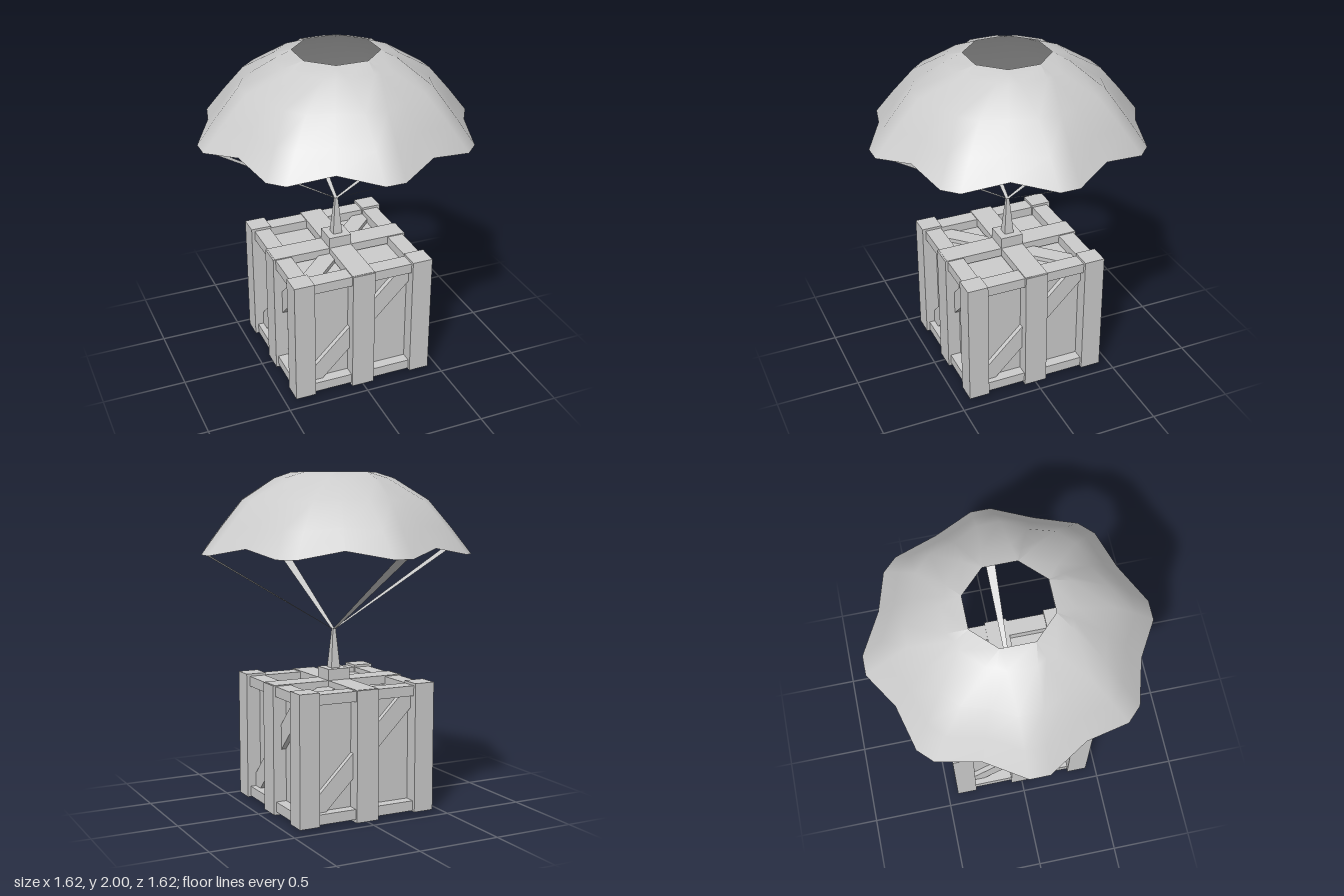
import * as THREE from 'three';

const material = new THREE.MeshStandardMaterial({ color: 0xcccccc, flatShading: true });
const thin = new THREE.MeshStandardMaterial({ color: 0xcccccc, side: THREE.DoubleSide });

function box(parent, name, size, pos) {
  const mesh = new THREE.Mesh(new THREE.BoxGeometry(...size), material);
  mesh.name = name;
  mesh.position.set(...pos);
  parent.add(mesh);
  return mesh;
}

function surface(name, points, index) {
  const geometry = new THREE.BufferGeometry();
  geometry.setAttribute('position', new THREE.Float32BufferAttribute(points, 3));
  geometry.setIndex(index);
  geometry.computeVertexNormals();
  const mesh = new THREE.Mesh(geometry, thin);
  mesh.name = name;
  return mesh;
}

// Wooden crate: recessed core, posts, rails, braces and straps
function createCrate() {
  const crate = new THREE.Group();
  crate.name = 'crate';
  box(crate, 'recessedPanels', [0.7, 0.64, 0.7], [0, 0.395, 0]);

  for (let i = 0; i < 4; i++) {
    const side = new THREE.Group();
    side.name = 'crateSide';
    side.rotation.y = i * Math.PI / 2;
    crate.add(side);
    box(side, 'cornerPost', [0.125, 0.77, 0.125], [0.3725, 0.4, 0.3725]);
    box(side, 'bottomRail', [0.66, 0.06, 0.1], [0, 0.05, 0.365]);
    box(side, 'topRail', [0.66, 0.06, 0.1], [0, 0.74, 0.365]);
    box(side, 'sideStrap', [0.14, 0.772, 0.1], [0, 0.388, 0.38]);
    box(side, 'diagonalBrace', [0.9, 0.106, 0.04], [0, 0.398, 0.36]).rotation.z = Math.PI / 4;
  }

  // Straps and braces on the top and bottom faces
  for (const [label, strapY, braceY] of [['top', 0.75, 0.725], ['bottom', 0.026, 0.065]]) {
    box(crate, label + 'StrapAcross', [0.84, 0.052, 0.14], [0, strapY, 0]);
    box(crate, label + 'StrapAlong', [0.14, 0.052, 0.84], [0, strapY, 0]);
    box(crate, label + 'Brace', [0.9, 0.03, 0.106], [0, braceY, 0]).rotation.y = Math.PI / 4;
  }
  return crate;
}

// Scalloped eight-gore canopy with an open vent
function createCanopy() {
  // Each ring: ridge radius, ridge height, ridge half width, valley radius, valley height
  const rings = [
    [0.81, 1.535, 0.058, 0.735, 1.58],
    [0.69, 1.685, 0.06, 0.638, 1.7],
    [0.555, 1.84, 0.065, 0.523, 1.84],
    [0.345, 1.965, 0.08, 0.338, 1.96],
    [0.23, 2.0, 0.095, 0.249, 2.0],
  ];
  const points = [], index = [], n = 24;
  for (const [r, y, w, valleyR, valleyY] of rings) {
    for (let i = 0; i < 8; i++) {
      const a = i * Math.PI / 4, c = Math.cos(a), s = Math.sin(a);
      for (const t of [-w, w]) points.push(r * c - t * s, y, r * s + t * c);
      const v = a + Math.PI / 8;
      points.push(valleyR * Math.cos(v), valleyY, valleyR * Math.sin(v));
    }
  }
  for (let j = 0; j < rings.length - 1; j++) {
    for (let i = 0; i < n; i++) {
      const a = j * n + i, b = j * n + (i + 1) % n;
      index.push(a, a + n, b, b, a + n, b + n);
    }
  }
  return surface('canopy', points, index);
}

// Knot, tapering stem and four flat ribbons up to the canopy rim
function createRigging() {
  const rigging = new THREE.Group();
  rigging.name = 'rigging';
  box(rigging, 'knot', [0.14, 0.08, 0.14], [0, 0.803, 0]);

  const stem = new THREE.Mesh(new THREE.CylinderGeometry(0.013, 0.042, 0.24, 4), material);
  stem.name = 'stem';
  stem.geometry.rotateY(Math.PI / 4);
  stem.position.y = 0.955;
  rigging.add(stem);

  for (let i = 0; i < 4; i++) {
    const cord = surface('cord', [
      -0.01, 1.07, 0, 0.01, 1.07, 0,
      0.036, 1.54, 0.8, -0.036, 1.54, 0.8,
    ], [0, 2, 1, 0, 3, 2]);
    cord.rotation.y = i * Math.PI / 2;
    rigging.add(cord);
  }
  return rigging;
}

export function createModel() {
  const model = new THREE.Group();
  model.name = 'parachuteCrate';
  model.add(createCrate(), createRigging(), createCanopy());
  return model;
}
